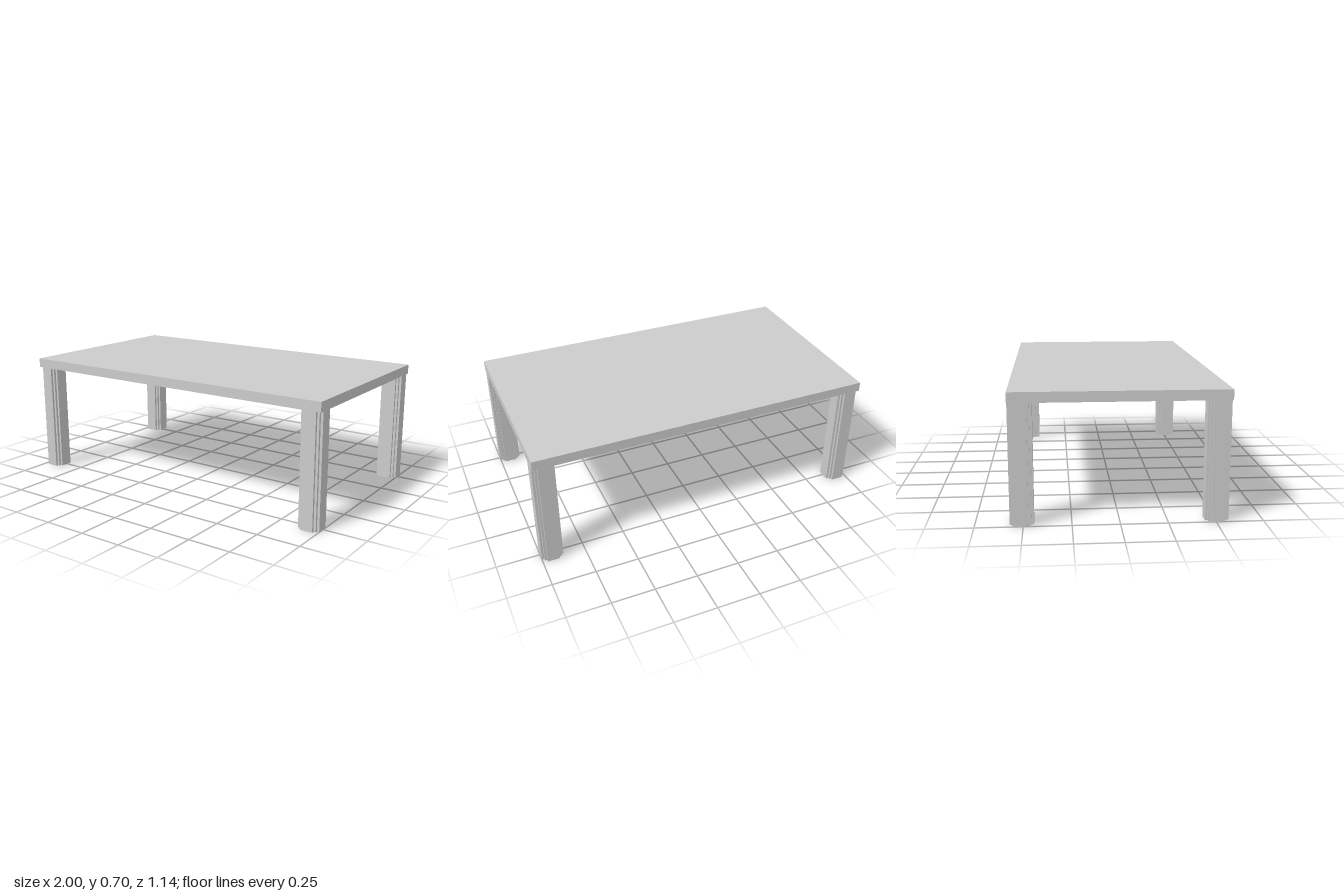
import * as THREE from 'three';

const HALF_X = 1, HALF_Z = 0.57, HEIGHT = 0.7, TOP = 0.055;
const LEG = 0.0625; // half width of a leg

// Square leg section with two small steps cut into each corner
function legShape() {
  const a = 0.0355, b = 0.049;
  const corner = [[LEG, a], [b, a], [b, b], [a, b], [a, LEG]];
  const points = [];
  for (let i = 0; i < 4; i++) {
    for (const [x, y] of corner) {
      points.push(new THREE.Vector2(x, y).rotateAround(new THREE.Vector2(), i * Math.PI / 2));
    }
  }
  return new THREE.Shape(points);
}

export function createModel() {
  const group = new THREE.Group();
  group.name = 'table';
  const material = new THREE.MeshStandardMaterial({ color: 0xcccccc });

  // Flat top slab
  const top = new THREE.Mesh(new THREE.BoxGeometry(2 * HALF_X, TOP, 2 * HALF_Z), material);
  top.name = 'tableTop';
  top.position.y = HEIGHT - TOP / 2;
  group.add(top);

  // Four legs, flush with the corners of the top
  const legGeometry = new THREE.ExtrudeGeometry(legShape(), { depth: HEIGHT - TOP, bevelEnabled: false });
  legGeometry.rotateX(-Math.PI / 2);
  for (const [sz, end] of [[1, 'front'], [-1, 'back']]) {
    for (const [sx, side] of [[1, 'Left'], [-1, 'Right']]) {
      const leg = new THREE.Mesh(legGeometry, material);
      leg.name = end + side + 'Leg';
      leg.position.set(sx * (HALF_X - LEG), 0, sz * (HALF_Z - LEG));
      group.add(leg);
    }
  }
  return group;
}
